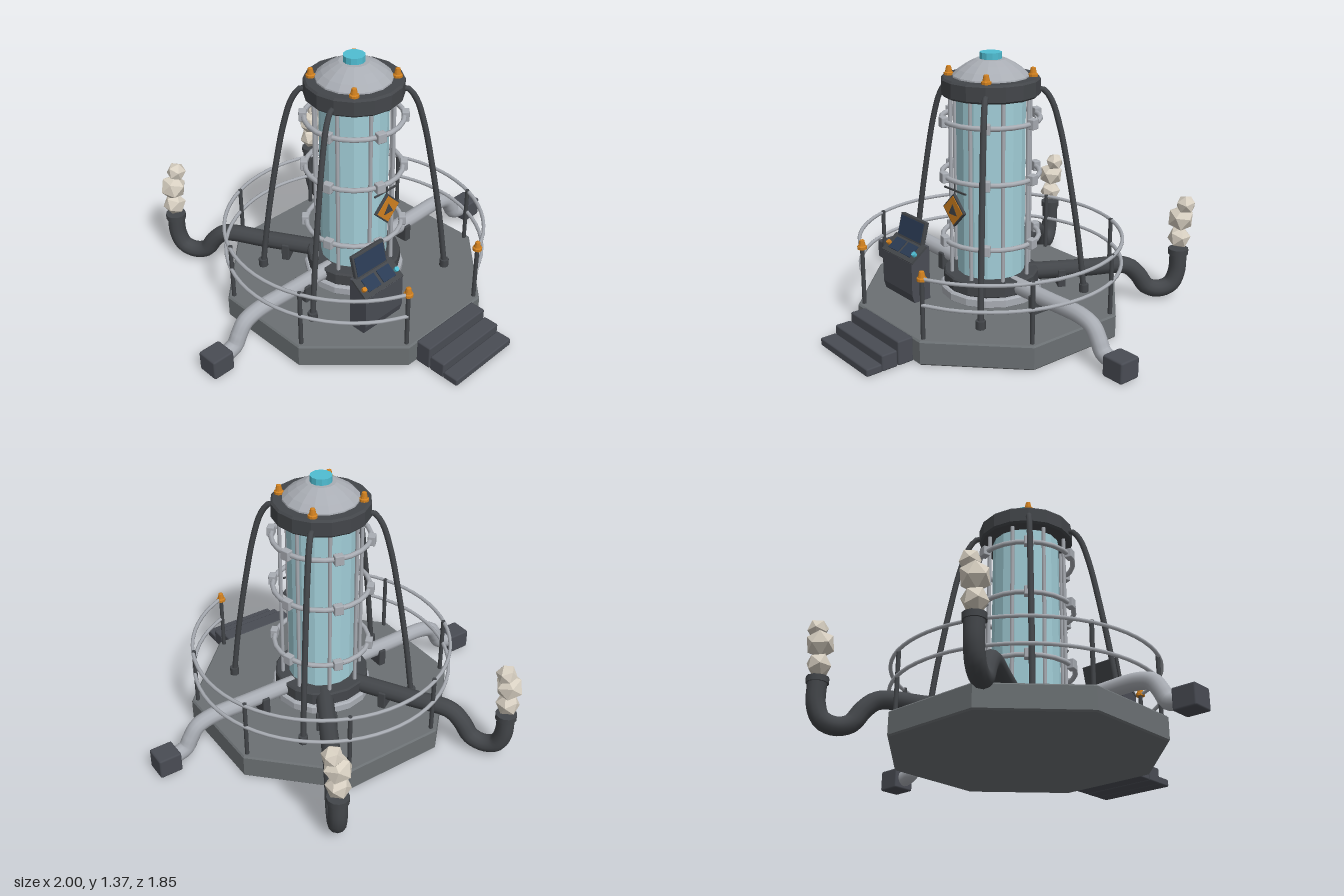
import * as THREE from 'three';
import { RoundedBoxGeometry } from 'three/addons/geometries/RoundedBoxGeometry.js';

const mat = (name, color) => {
  const m = new THREE.MeshStandardMaterial({ color });
  m.name = name;
  return m;
};

export function createModel() {
  const deck = mat('deck grey', 0x6b7073), dark = mat('dark metal', 0x43464a), slate = mat('slate', 0x494c54),
    steel = mat('light steel', 0xa9adb4), glass = mat('pale glass', 0xa2ced8), cyan = mat('cyan light', 0x4fbdd2),
    orange = mat('orange', 0xd0801f), navy = mat('navy screen', 0x2a3b54), stone = mat('pale crystal', 0xd8d0c2);

  const root = new THREE.Group();
  root.name = 'reactorTank';
  const body = new THREE.Group();
  body.name = 'body';
  body.position.z = 0.02;
  root.add(body);

  // Helpers
  const add = (name, geo, material, x = 0, y = 0, z = 0, parent = body) => {
    const m = new THREE.Mesh(geo, material);
    m.name = name;
    m.position.set(x, y, z);
    parent.add(m);
    return m;
  };
  const flat = (geo) => {
    const g = geo.index ? geo.toNonIndexed() : geo;
    g.computeVertexNormals();
    return g;
  };
  const lathe = (pts, sides) => flat(new THREE.LatheGeometry(pts.map(([r, y]) => new THREE.Vector2(r, y)), sides));
  const box = (w, h, d, r = 0.008) => new RoundedBoxGeometry(w, h, d, 1, r);
  const rod = (r, h, sides = 8) => new THREE.CylinderGeometry(r, r, h, sides);
  const polar = (r, y, a) => new THREE.Vector3(r * Math.sin(a), y, r * Math.cos(a));
  const tube = (pts, r, seg = 40, sides = 10) =>
    new THREE.TubeGeometry(new THREE.CatmullRomCurve3(pts, false, 'centripetal'), seg, r, sides);
  const disc = (r, y0, y1, sides, b = 0.008) =>
    lathe([[0, y0], [r - b, y0], [r, y0 + b], [r, y1 - b], [r - b, y1], [0, y1]], sides);
  const D = Math.PI / 180;

  // Octagonal platform
  const platform = disc(0.7, 0, 0.125, 8);
  platform.rotateY(Math.PI / 8);
  add('platform', platform, deck);

  // Front steps
  [[0.125, 0.685], [0.083, 0.775], [0.04, 0.86]].forEach(([h, z]) =>
    add('step', box(0.42, h, 0.086), slate, 0, h / 2, z));

  // Tank: foot, collar, glass, cap, dome
  add('tankFoot', disc(0.262, 0.12, 0.172, 16), steel);
  add('tankCollar', disc(0.247, 0.17, 0.245, 16), dark);
  add('tankGlass', flat(new THREE.CylinderGeometry(0.174, 0.174, 0.94, 16)), glass, 0, 0.71, 0);
  add('tankCap', disc(0.247, 1.163, 1.255, 16, 0.01), dark);
  add('dome', lathe([[0.195, 1.24], [0.19, 1.262], [0.16, 1.29], [0.12, 1.317], [0.075, 1.34], [0, 1.34]], 16), steel);
  add('domeLight', flat(new THREE.CylinderGeometry(0.055, 0.055, 0.035, 12)), cyan, 0, 1.355, 0);

  // Cage around the glass
  for (let i = 0; i < 8; i++) {
    const p = polar(0.208, 0.705, (22.5 + 45 * i) * D);
    add('cageBar', rod(0.01, 0.93), steel, p.x, p.y, p.z);
  }
  for (const y of [0.43, 0.765, 1.047]) {
    const ring = new THREE.TorusGeometry(0.247, 0.013, 8, 24);
    ring.rotateX(Math.PI / 2);
    add('cageRing', ring, steel, 0, y, 0);
    for (let i = 0; i < 6; i++) {
      const a = (45 + 60 * i) * D, p = polar(0.252, y, a);
      add('ringClamp', box(0.048, 0.052, 0.038, 0.005), steel, p.x, p.y, p.z).rotation.y = a;
    }
  }

  // Small warning lamps
  const lampGeo = lathe([[0, 0], [0.024, 0], [0.024, 0.014], [0.018, 0.018], [0.012, 0.046], [0, 0.05]], 10);
  for (let i = 0; i < 4; i++) {
    const p = polar(0.208, 1.253, (45 + 90 * i) * D);
    add('capLamp', lampGeo, orange, p.x, p.y, p.z);
  }

  // Hanging diamond sign
  const sign = new THREE.Group();
  sign.name = 'warningSign';
  sign.position.set(0, 0.608, 0.232);
  body.add(sign);
  add('signFrame', box(0.124, 0.124, 0.016, 0.004), dark, 0, 0, 0, sign).rotation.z = Math.PI / 4;
  add('signFace', new THREE.BoxGeometry(0.108, 0.108, 0.008), orange, 0, 0, 0.007, sign).rotation.z = Math.PI / 4;
  const tri = new THREE.CylinderGeometry(0.036, 0.036, 0.006, 3);
  tri.rotateX(Math.PI / 2);
  tri.rotateZ(Math.PI);
  add('signTriangle', tri, dark, 0, -0.004, 0.011, sign);
  add('signBar', new THREE.BoxGeometry(0.17, 0.008, 0.008), dark, 0, 0.1, -0.005, sign);
  add('signHanger', rod(0.004, 0.08), dark, 0, 0.12, -0.002, sign);

  // Railing: two open hoops on corner posts
  for (const y of [0.298, 0.43]) {
    const pts = [];
    for (let i = 0; i <= 28; i++) pts.push(polar(0.673, y, (22.5 + (315 * i) / 28) * D));
    add('handRail', tube(pts, 0.01, 56, 6), steel);
  }
  for (let i = 0; i < 8; i++) {
    const p = polar(0.668, 0.28, (22.5 + 45 * i) * D);
    add('railPost', rod(0.011, 0.32), dark, p.x, p.y, p.z);
    if (i === 0 || i === 7) add('postLamp', lampGeo, orange, p.x, 0.42, p.z);
  }

  // Side pipes with end blocks
  const bracket = (s, a) => {
    const p = polar(s, 0.168, a);
    add('pipeBracket', box(0.105, 0.1, 0.042, 0.006), dark, p.x, p.y, p.z).rotation.y = a;
  };
  for (const s of [-1, 1]) {
    const path = [[0.18, 0.208], [0.45, 0.21], [0.68, 0.21], [0.755, 0.185], [0.795, 0.13], [0.825, 0.08], [0.9, 0.056]];
    add('sidePipe', tube(path.map(([x, y]) => new THREE.Vector3(s * x, y, 0)), 0.042, 40, 12), steel);
    add('endBlock', box(0.122, 0.108, 0.118, 0.01), slate, s * 0.939, 0.056, 0);
    bracket(0.375, s * 90 * D);
  }

  // Rear exhaust pipes with faceted puffs
  for (const s of [-1, 1]) {
    const a = s * 150 * D;
    const path = [[0.18, 0.205], [0.5, 0.205], [0.73, 0.202], [0.795, 0.15], [0.85, 0.075], [0.92, 0.055],
      [0.985, 0.08], [1.015, 0.15], [1.018, 0.27]];
    add('exhaustPipe', tube(path.map(([r, y]) => polar(r, y, a)), 0.046, 50, 12), dark);
    const e = polar(1.018, 0, a);
    add('exhaustCollar', rod(0.054, 0.03, 12), dark, e.x, 0.267, e.z);
    [[0.062, 0, 0.345], [0.072, 0.003, 0.452], [0.053, 0.033, 0.537]].forEach(([r, dx, y], i) =>
      add('puff', new THREE.IcosahedronGeometry(r, 0), stone, e.x + dx, y, e.z).rotation.set(0.3 * i, 0.5 * i, 0.2));
    bracket(0.37, a);
  }

  // Cables from the cap down to the platform
  for (const deg of [45, 135, 225, 290]) {
    const a = deg * D;
    const path = [[0.2, 1.19], [0.255, 1.195], [0.3, 1.14], [0.345, 1.0], [0.39, 0.78], [0.445, 0.45], [0.487, 0.125]];
    add('cable', tube(path.map(([r, y]) => polar(r, y, a)), 0.015, 36, 8), dark);
    const p = polar(0.485, 0.145, a);
    add('cableFoot', rod(0.025, 0.045), dark, p.x, p.y, p.z);
  }

  // Control console with sloped panel and screen
  const side = new THREE.Shape([[0.325, 0.12], [0.42, 0.12], [0.435, 0.17], [0.435, 0.34], [0.34, 0.41], [0.325, 0.41]]
    .map(([z, y]) => new THREE.Vector2(z, y)));
  const cab = new THREE.ExtrudeGeometry(side, { depth: 0.26, bevelEnabled: false });
  cab.rotateY(-Math.PI / 2);
  add('consoleBody', cab, slate, -0.093, 0, 0);
  const panel = new THREE.Group();
  panel.name = 'consolePanel';
  panel.position.set(-0.223, 0.375, 0.3875);
  panel.rotation.x = 0.635;
  body.add(panel);
  add('panelPlate', new THREE.BoxGeometry(0.266, 0.012, 0.115), dark, 0, 0.002, 0, panel);
  for (const s of [-1, 1]) {
    add('panelScreen', new THREE.BoxGeometry(0.085, 0.008, 0.07), navy, s * 0.052, 0.009, 0, panel);
    add('panelButton', rod(0.013, 0.02), s < 0 ? orange : cyan, s * 0.113, 0.014, 0.012, panel);
  }
  const monitor = new THREE.Group();
  monitor.name = 'monitor';
  monitor.position.set(-0.228, 0.465, 0.328);
  monitor.rotation.x = -0.25;
  body.add(monitor);
  add('monitorCase', box(0.216, 0.125, 0.024, 0.005), dark, 0, 0, 0, monitor);
  add('monitorFace', new THREE.BoxGeometry(0.196, 0.1, 0.006), navy, 0, 0, 0.012, monitor);

  return root;
}
